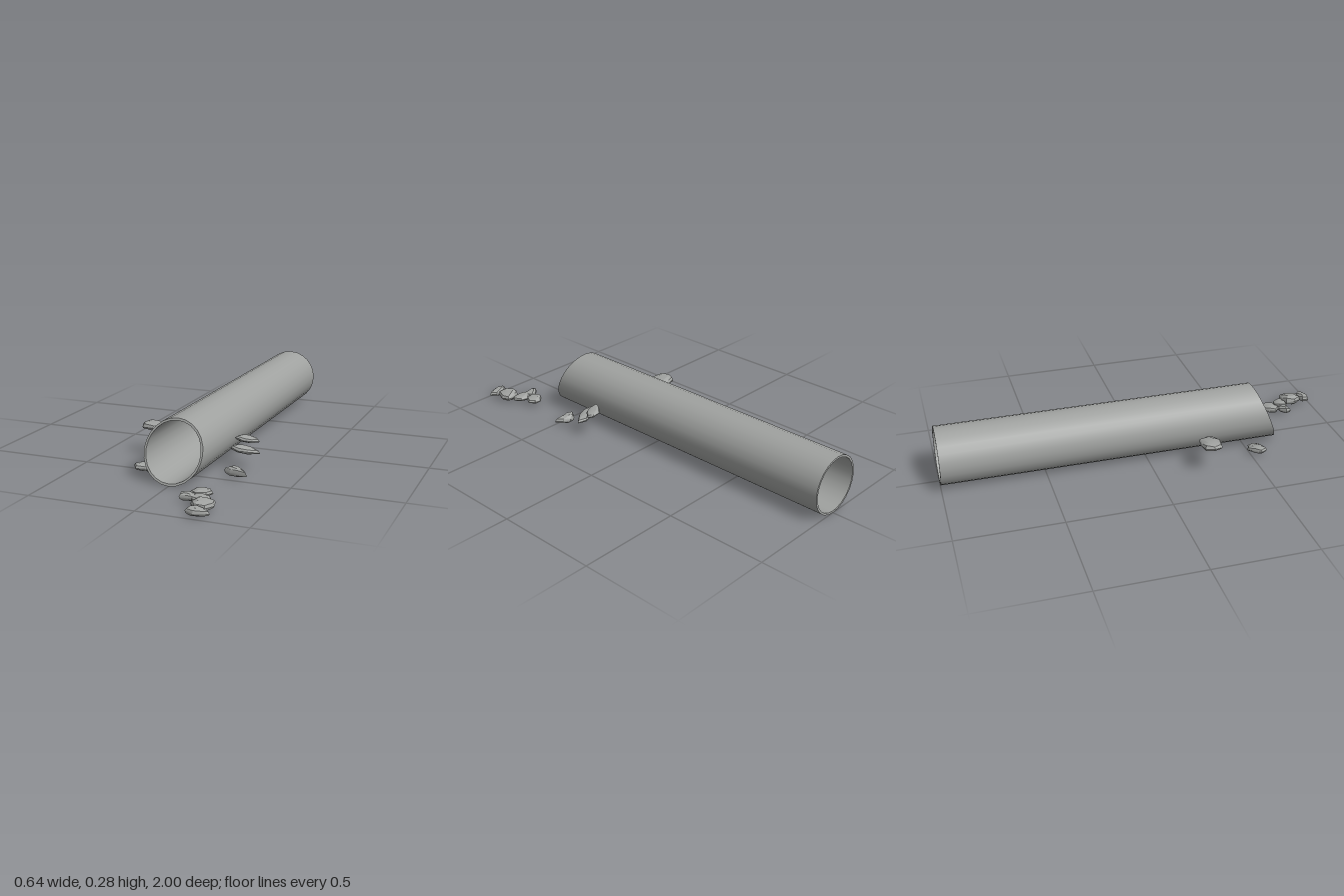
import * as THREE from 'three';
import { mergeVertices, toCreasedNormals } from 'three/addons/utils/BufferGeometryUtils.js';

const grey = new THREE.MeshStandardMaterial({ color: 0xa0a2a0 });
grey.name = 'concrete grey';

// Hollow pipe along z, with its front end cut at a slant
function makePipe() {
  const R = 0.14, r = 0.13, cy = 0.142;
  const profile = [[R, -1], [R, 0.62], [r, 0.62], [r, -1], [R, -1]].map(p => new THREE.Vector2(...p));
  const geo = new THREE.LatheGeometry(profile, 24);
  geo.rotateX(Math.PI / 2);
  const p = geo.attributes.position;
  for (let i = 0; i < p.count; i++) {
    if (p.getZ(i) > 0) p.setZ(i, 0.62 - 0.393 * p.getY(i));
  }
  geo.translate(-0.001, cy, 0);
  const mesh = new THREE.Mesh(toCreasedNormals(geo, 0.7), grey);
  mesh.name = 'pipe';
  return mesh;
}

// Flat angular stone: plan outline [x, z] stacked in rings, thinner towards +x
function makeStone(name, y0, y1, outline, slope = -0.12) {
  const n = outline.length;
  const cx = outline.reduce((s, p) => s + p[0], 0) / n;
  const cz = outline.reduce((s, p) => s + p[1], 0) / n;
  const half = Math.max(...outline.map(p => Math.abs(p[0] - cx)));
  const rings = [[0, 0.06], [0.55, 0], [0.93, 0.25], [1, 0.48], [0.88, 0.78], [0.5, 1], [0, 0.97]];
  const pos = [], index = [];
  rings.forEach(([s, h], k) => outline.forEach(([x, z], i) => {
    const dx = (x - cx) * s, u = dx / half;
    const jag = s === 0 ? 0 : 0.07 * Math.sin(i * 2.4 + k * 1.7);
    const t = Math.min(1, Math.max(0, h + jag));
    const level = 0.5 + (t - 0.5) * (1 - 0.25 * u);
    pos.push(cx + dx, y0 + (y1 - y0) * level + slope * dx, cz + (z - cz) * s);
  }));
  for (let k = 0; k < rings.length - 1; k++) {
    for (let i = 0; i < n; i++) {
      const a = k * n + i, b = k * n + (i + 1) % n;
      if (k > 0) index.push(a, b, b + n);
      else index.push(a, b + n, a + n);
      if (k > 0 && k < rings.length - 2) index.push(a, b + n, a + n);
    }
  }
  // Caps: bottom faces down, top faces up
  for (let i = 0; i < n; i++) {
    const last = (rings.length - 2) * n;
    const at = index.length - 3 * n + 3 * i;
    index[at] = last + i;
    index[at + 1] = last + (i + 1) % n;
    index[at + 2] = last + n;
  }
  const geo = new THREE.BufferGeometry();
  geo.setAttribute('position', new THREE.Float32BufferAttribute(pos, 3));
  geo.setIndex(index);
  const mesh = new THREE.Mesh(toCreasedNormals(mergeVertices(geo), 0.5), grey);
  mesh.name = name;
  return mesh;
}

export function createModel() {
  const group = new THREE.Group();
  group.name = 'pipeWithStones';
  group.add(makePipe());

  // Stones on the left side of the pipe
  group.add(
    makeStone('leftStoneUpper', 0.118, 0.145,
      [[0.27, 0.265], [0.25, 0.245], [0.21, 0.245], [0.185, 0.27], [0.167, 0.308], [0.21, 0.312], [0.245, 0.3]], -0.18),
    makeStone('leftStoneMiddle', 0.08, 0.112,
      [[0.292, 0.315], [0.255, 0.292], [0.215, 0.3], [0.18, 0.325], [0.163, 0.355], [0.205, 0.365], [0.25, 0.35]], -0.18),
    makeStone('leftStoneLower', 0.013, 0.054,
      [[0.292, 0.487], [0.265, 0.45], [0.235, 0.432], [0.205, 0.438], [0.18, 0.475], [0.21, 0.485], [0.25, 0.485]], -0.08));

  // Stones on the right side of the pipe
  group.add(
    makeStone('rightStoneUpper', 0.123, 0.16,
      [[-0.195, 0.26], [-0.205, 0.22], [-0.26, 0.213], [-0.3, 0.222], [-0.32, 0.262], [-0.305, 0.305], [-0.245, 0.315], [-0.2, 0.29]], -0.06),
    makeStone('rightStoneSmall', 0.114, 0.145,
      [[-0.165, 0.275], [-0.18, 0.25], [-0.21, 0.242], [-0.245, 0.265], [-0.255, 0.3], [-0.215, 0.315], [-0.18, 0.3]], -0.15),
    makeStone('rightStoneLower', 0.012, 0.044,
      [[-0.14, 0.54], [-0.145, 0.505], [-0.175, 0.485], [-0.21, 0.515], [-0.232, 0.54], [-0.21, 0.575], [-0.165, 0.565]], -0.1),
    makeStone('rightStoneChip', 0.01, 0.032,
      [[-0.118, 0.535], [-0.13, 0.505], [-0.165, 0.5], [-0.185, 0.53], [-0.165, 0.56], [-0.13, 0.565]], -0.1));

  // Stones lying in front of the opening
  group.add(
    makeStone('frontStoneA', 0.012, 0.045,
      [[0.242, 0.75], [0.22, 0.72], [0.185, 0.72], [0.16, 0.745], [0.148, 0.778], [0.18, 0.802], [0.225, 0.785]], 0.02),
    makeStone('frontStoneB', 0.012, 0.045,
      [[0.2, 0.82], [0.18, 0.795], [0.155, 0.795], [0.125, 0.825], [0.128, 0.848], [0.165, 0.845], [0.19, 0.845]], -0.05),
    makeStone('frontStoneC', 0.012, 0.042,
      [[0.272, 0.835], [0.25, 0.8], [0.21, 0.79], [0.185, 0.81], [0.185, 0.852], [0.225, 0.858], [0.265, 0.85]], -0.05),
    makeStone('frontStoneD', 0.008, 0.053,
      [[0.305, 0.89], [0.295, 0.853], [0.255, 0.848], [0.222, 0.865], [0.208, 0.91], [0.235, 0.948], [0.285, 0.945]], -0.03),
    makeStone('frontStoneE', 0.01, 0.045,
      [[0.32, 0.975], [0.295, 0.948], [0.255, 0.943], [0.225, 0.96], [0.218, 0.99], [0.255, 1], [0.305, 0.985]], -0.05));
  return group;
}
